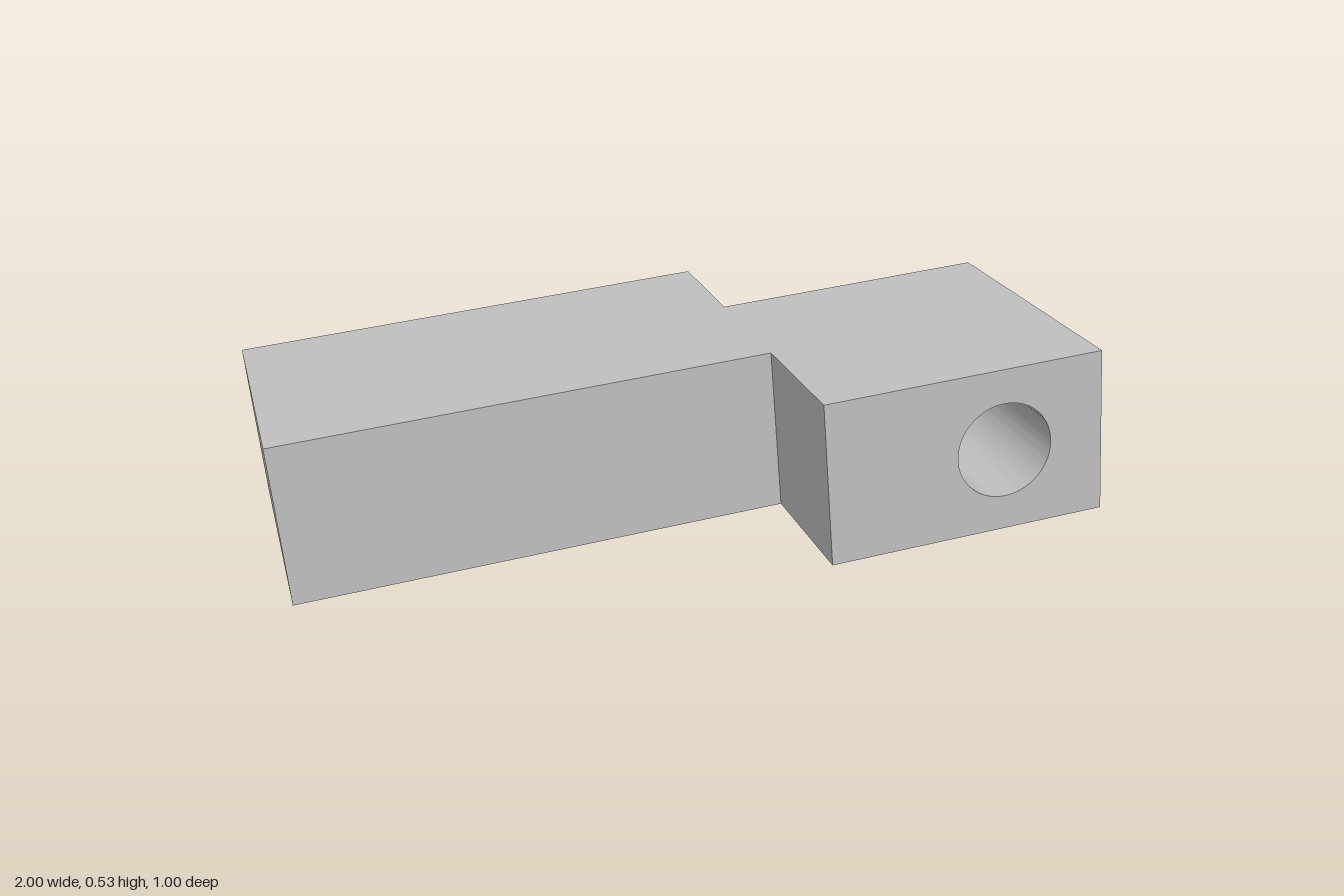
import * as THREE from 'three';
import { toCreasedNormals } from 'three/addons/utils/BufferGeometryUtils.js';

const HEIGHT = 0.372;

export function createModel() {
  const grey = new THREE.MeshStandardMaterial({ color: 0xbfbfbf });
  grey.name = 'grey';

  // Block with a rectangular side profile, extruded across the width from z0 to z1
  function block(name, x0, x1, z0, z1, hole) {
    const shape = new THREE.Shape();
    shape.moveTo(x0, 0).lineTo(x1, 0).lineTo(x1, HEIGHT).lineTo(x0, HEIGHT).closePath();
    if (hole) {
      shape.holes.push(new THREE.Path().absarc(hole.x, hole.y, hole.r, 0, Math.PI * 2, true));
    }
    const geometry = new THREE.ExtrudeGeometry(shape, {
      depth: z1 - z0, bevelEnabled: false, curveSegments: 48,
    });
    geometry.translate(0, 0, z0);
    const mesh = new THREE.Mesh(toCreasedNormals(geometry, 0.6), grey);
    mesh.name = name;
    return mesh;
  }

  // Long bar and the sideways-offset end block with its cross hole
  const body = new THREE.Group();
  body.name = 'body';
  body.add(
    block('longBar', 0, 1.117, 0, 0.63),
    block('drilledEnd', 1.117, 1.748, 0.295, 0.957, { x: 1.52, y: HEIGHT / 2, r: 0.108 }),
  );

  // The whole piece is turned and tilted, resting on one lower edge
  body.rotation.set(0, THREE.MathUtils.degToRad(21.2), THREE.MathUtils.degToRad(5.2), 'YXZ');
  body.position.set(-0.9685, 0, -0.0985);

  const model = new THREE.Group();
  model.name = 'offsetBar';
  model.add(body);
  return model;
}
